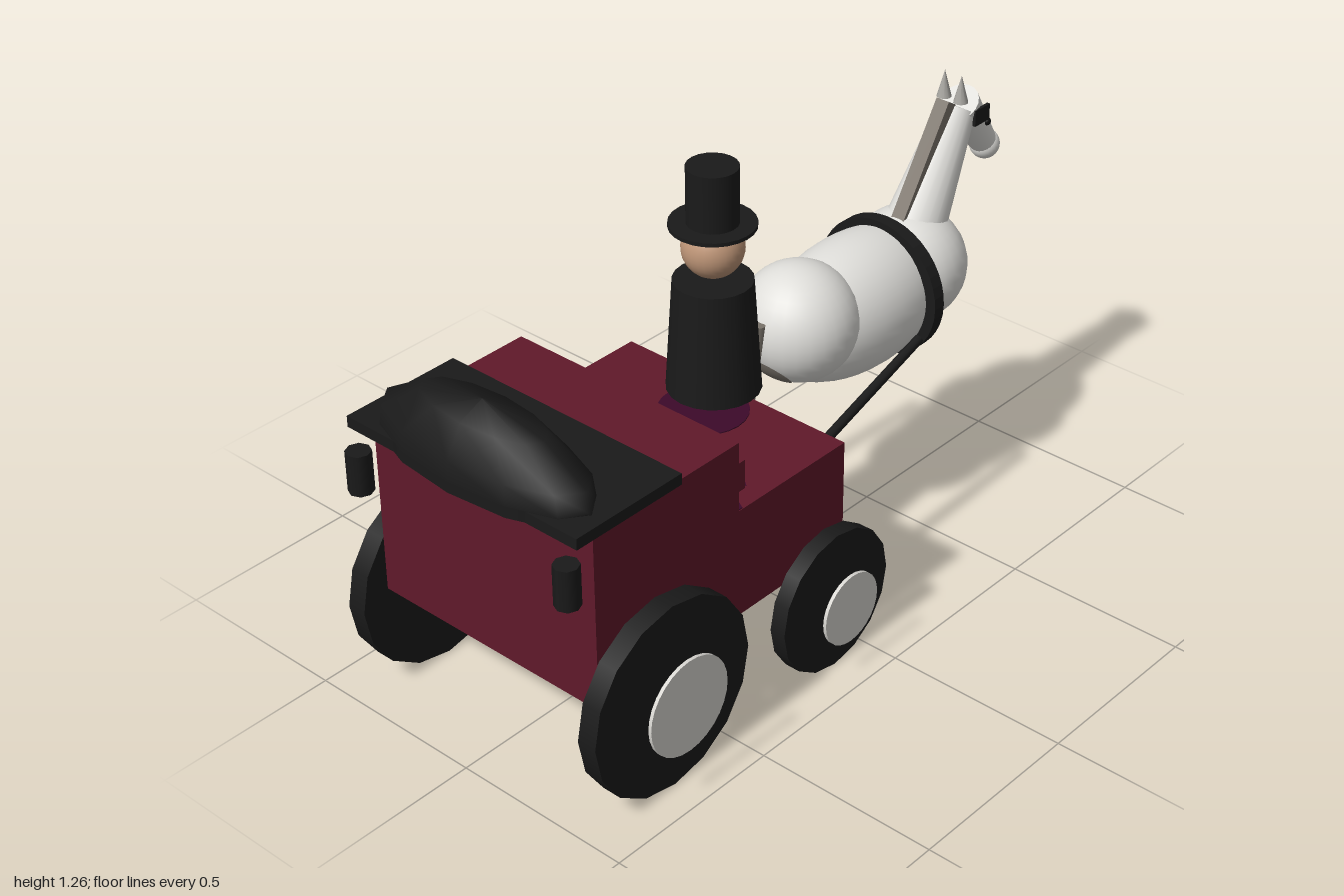
import * as THREE from 'three';

const mat = (name, color) => Object.assign(new THREE.MeshStandardMaterial({ color }), { name });

export function createModel() {
  const model = new THREE.Group();
  model.name = 'horseAndCarriage';
  const maroon = mat('maroon paint', 0x60192a);
  const purple = mat('dark purple paint', 0x3c0a2a);
  const black = mat('black', 0x1a1a1a);
  const white = mat('white coat', 0xdfdeda);
  const silver = mat('silver', 0xd8d6d1);
  const skin = mat('skin', 0xbf9678);
  const hair = mat('grey hair', 0x7e776e);
  const earGrey = mat('ear grey', 0xa8a6a1);
  const eyeBlack = mat('eye black', 0x0c0c0c);

  const group = (name) => {
    const g = new THREE.Group();
    g.name = name;
    model.add(g);
    return g;
  };
  const add = (parent, name, geometry, material, x, y, z) => {
    const m = new THREE.Mesh(geometry, material);
    m.name = name;
    m.position.set(x, y, z);
    parent.add(m);
    return m;
  };
  const box = (parent, name, material, w, y0, y1, z0, z1) =>
    add(parent, name, new THREE.BoxGeometry(w, y1 - y0, z1 - z0), material, 0, (y0 + y1) / 2, (z0 + z1) / 2);
  const ball = (parent, name, material, r, x, y, z) =>
    add(parent, name, new THREE.SphereGeometry(r, 28, 20), material, x, y, z);
  // Tapered rod from point a (radius ra) to point b (radius rb)
  const rod = (parent, name, material, a, b, ra, rb, sides = 20) => {
    const p = new THREE.Vector3(...a), d = new THREE.Vector3(...b).sub(p);
    const m = add(parent, name, new THREE.CylinderGeometry(rb, ra, d.length(), sides), material, 0, 0, 0);
    m.position.copy(p).addScaledVector(d, 0.5);
    m.quaternion.setFromUnitVectors(new THREE.Vector3(0, 1, 0), d.normalize());
    return m;
  };
  // Thin painted plate cut from a flat outline
  const plate = (parent, name, material, points, x, y, z) =>
    add(parent, name, new THREE.ExtrudeGeometry(new THREE.Shape(points.map((p) => new THREE.Vector2(...p))),
      { depth: 0.003, bevelEnabled: false }), material, x, y, z);
  const arch = (w, h) => Array.from({ length: 13 }, (_, i) => [w * Math.cos(i * Math.PI / 12), h * Math.sin(i * Math.PI / 12)]);

  // Carriage body
  const carriage = group('carriage');
  box(carriage, 'frontFloor', maroon, 0.704, 0.30, 0.60, 0.038, 0.42);
  box(carriage, 'rearCabin', maroon, 0.704, 0.30, 0.79, 0.42, 0.90);
  box(carriage, 'seatStep', maroon, 0.6, 0.60, 0.68, 0.34, 0.42);
  box(carriage, 'rearDeck', black, 0.735, 0.79, 0.82, 0.63, 0.965);

  // Dark paint: underside, seat surroundings and the floor below the driver
  box(carriage, 'underside', purple, 0.7, 0.298, 0.301, 0.04, 0.898);
  plate(carriage, 'seatFront', purple, arch(0.3, 0.03), 0, 0.603, 0.336).rotation.x = -Math.PI / 2;
  plate(carriage, 'cabinFront', purple, arch(0.22, 0.07), 0, 0.68, 0.418);
  add(carriage, 'driverFloor', new THREE.CylinderGeometry(0.115, 0.115, 0.004, 24), purple, 0, 0.601, 0.155);

  // Folded hood: squashed low-poly dome
  const profile = [[0.33, 0], [0.32, 0.055], [0.194, 0.132], [0, 0.162]].map((p) => new THREE.Vector2(...p));
  const hood = add(carriage, 'foldedHood', new THREE.LatheGeometry(profile, 12), black, 0, 0.82, 0.878);
  hood.scale.z = 0.365;
  const hoodBase = add(carriage, 'hoodBase', new THREE.CylinderGeometry(0.33, 0.33, 0.03, 12), black, 0, 0.806, 0.878);
  hoodBase.scale.z = 0.365;

  // Wheels with floating hub discs, lamps and shafts on both sides
  for (const s of [-1, 1]) {
    const side = s > 0 ? 'left' : 'right';
    for (const [pos, r, z, w, hubR, hubX] of [
      ['Rear', 0.26, 0.715, 0.054, 0.13, 0.457],
      ['Front', 0.195, 0.117, 0.044, 0.098, 0.446],
    ]) {
      const wheel = add(carriage, side + pos + 'Wheel', new THREE.CylinderGeometry(r, r, w, 16), black, s * (0.357 + w / 2), r, z);
      wheel.rotation.z = Math.PI / 2;
      const hub = add(carriage, side + pos + 'Hub', new THREE.CylinderGeometry(hubR, hubR, 0.009, 28), silver, s * hubX, r, z);
      hub.rotation.z = Math.PI / 2;
    }
    add(carriage, side + 'Lamp', new THREE.CylinderGeometry(0.032, 0.032, 0.11, 8), black, s * 0.335, 0.685, 0.967);
    rod(carriage, side + 'Shaft', black, [s * 0.21, 0.46, 0.035], [s * 0.19, 0.60, -0.455], 0.013, 0.013, 8);
    const corner = plate(carriage, side + 'FloorCorner', purple,
      s > 0 ? [[0.3, 0], [0.35, 0], [0.35, 0.012], [0.3, 0.04]] : [[-0.35, 0], [-0.3, 0], [-0.3, 0.04], [-0.35, 0.012]], 0, 0.6, 0.419);
    corner.rotation.x = -Math.PI / 2;
  }

  // Driver
  const driver = group('driver');
  const dz = 0.115;
  add(driver, 'coat', new THREE.CylinderGeometry(0.1, 0.119, 0.3, 20), black, 0, 0.805, dz);
  ball(driver, 'head', skin, 0.078, 0, 1.043, dz);
  add(driver, 'hatBrim', new THREE.CylinderGeometry(0.108, 0.108, 0.01, 24), black, 0, 1.105, dz);
  add(driver, 'hatCrown', new THREE.CylinderGeometry(0.065, 0.065, 0.15, 20), black, 0, 1.184, dz);

  // Horse body
  const horse = group('horse');
  ball(horse, 'hindquarters', white, 0.158, 0, 0.695, -0.203);
  ball(horse, 'barrel', white, 1, 0, 0.653, -0.42).scale.set(0.168, 0.182, 0.32);
  ball(horse, 'chest', white, 0.158, 0, 0.672, -0.642);
  rod(horse, 'neck', white, [0, 0.75, -0.655], [0, 1.055, -0.832], 0.085, 0.05);
  rod(horse, 'face', white, [0, 1.065, -0.835], [0, 0.905, -0.955], 0.056, 0.036);
  ball(horse, 'muzzle', white, 0.041, 0, 0.9, -0.958);

  // Grey patch on the lower rump
  const rump = add(horse, 'rumpPatch', new THREE.SphereGeometry(0.16, 20, 6, 0, Math.PI * 2, 0, 0.4), hair, 0, 0.695, -0.203);
  rump.rotation.x = Math.PI * 0.74;

  // Girth strap: square-section ring around the barrel
  const strapShape = new THREE.Shape().absarc(0, 0, 0.19, 0, Math.PI * 2);
  strapShape.holes.push(new THREE.Path().absarc(0, 0, 0.16, 0, Math.PI * 2, true));
  add(horse, 'girthStrap', new THREE.ExtrudeGeometry(strapShape, { depth: 0.036, bevelEnabled: false, curveSegments: 20 }),
    black, 0, 0.655, -0.555);

  // Mane and tail
  const mane = add(horse, 'mane', new THREE.BoxGeometry(0.04, 0.34, 0.035), hair, 0, 0.945, -0.692);
  mane.rotation.x = -Math.atan2(0.175, 0.28);
  rod(horse, 'tail', hair, [0, 0.755, -0.04], [0, 0.44, 0.005], 0.025, 0.016, 10);

  // Ears, blinkers and eyes
  for (const s of [-1, 1]) {
    const side = s > 0 ? 'left' : 'right';
    add(horse, side + 'Ear', new THREE.ConeGeometry(0.02, 0.075, 10), earGrey, s * 0.027, 1.123, -0.808);
    add(horse, side + 'Blinker', new THREE.BoxGeometry(0.009, 0.045, 0.06), black, s * 0.054, 1.037, -0.863);
    ball(horse, side + 'Eye', eyeBlack, 0.011, s * 0.044, 1.0, -0.903);
  }
  return model;
}
